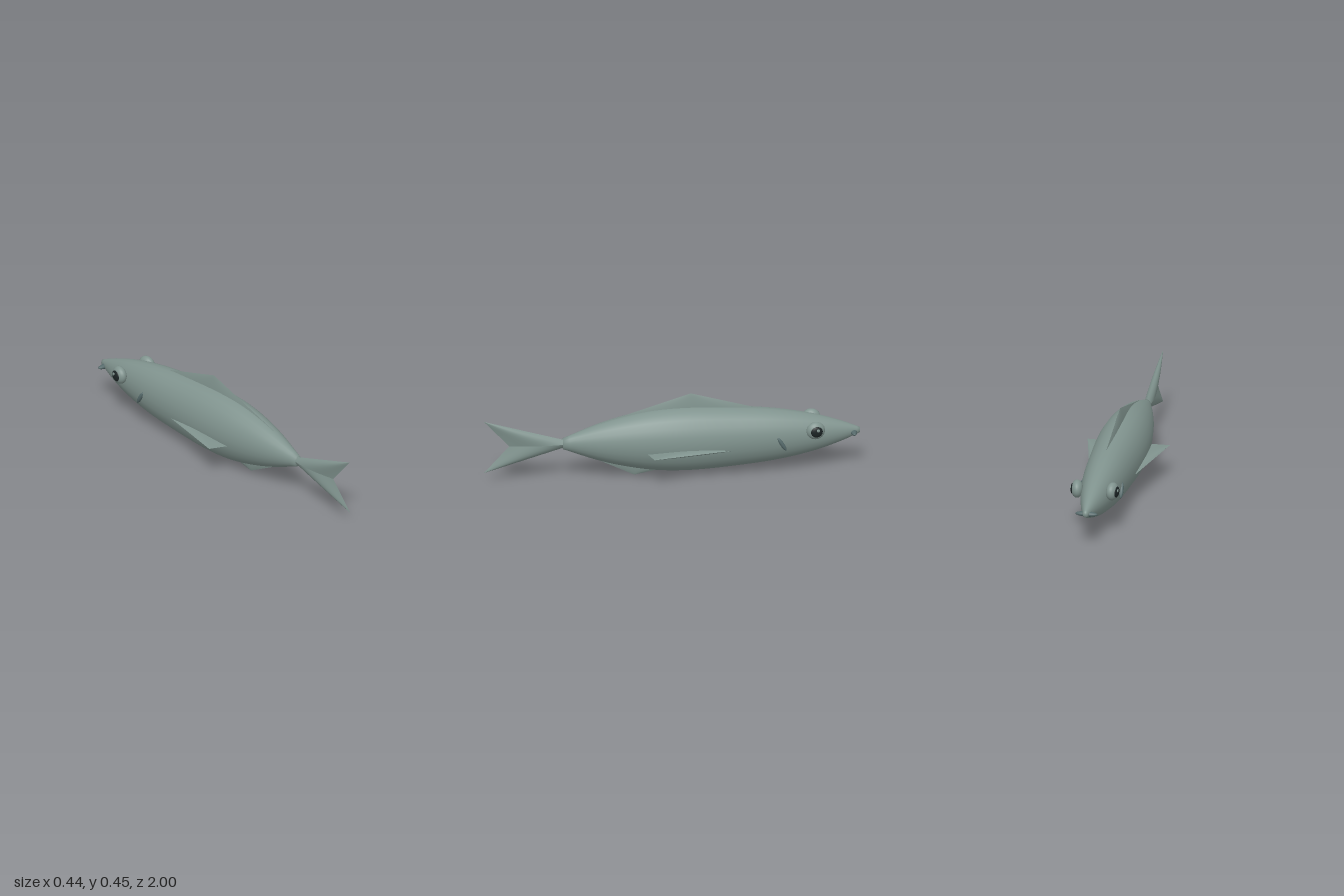
import * as THREE from 'three';
import { toCreasedNormals } from 'three/addons/utils/BufferGeometryUtils.js';
import { ParametricGeometry } from 'three/addons/geometries/ParametricGeometry.js';

const V = (x, y, z) => new THREE.Vector3(x, y, z);

// Lens-section fin: root chord from a to b, tapering to a sharp tip
function finGeometry(a, b, tip, thickness, axis) {
  const geometry = new ParametricGeometry((u, v, target) => {
    const chord = u < 0.5 ? u * 2 : 2 - u * 2;
    const side = u < 0.5 ? 1 : -1;
    const bulge = Math.sin(Math.PI * Math.pow(chord, 0.85));
    target.copy(a).lerp(b, chord).lerp(tip, v);
    target.addScaledVector(axis, side * thickness * bulge * (1 - v * v));
  }, 20, 6);
  return toCreasedNormals(geometry, 0.4);
}

export function createModel() {
  const model = new THREE.Group();
  const skin = new THREE.MeshStandardMaterial({ color: 0x80938e, side: THREE.DoubleSide });
  skin.name = 'greyGreenSkin';
  const dark = new THREE.MeshStandardMaterial({ color: 0x55696a });
  dark.name = 'darkSkin';
  const black = new THREE.MeshStandardMaterial({ color: 0x1c2425 });
  black.name = 'pupilBlack';

  const add = (name, geometry, material, parent = model) => {
    const mesh = new THREE.Mesh(geometry, material);
    mesh.name = name;
    parent.add(mesh);
    return mesh;
  };
  const ball = (rx, ry, rz) => new THREE.SphereGeometry(1, 24, 16).scale(rx, ry, rz);

  // Body: lathed profile of (half height, z), narrowed sideways
  const curve = new THREE.SplineCurve([
    [0.014, -1], [0.056, -0.9], [0.103, -0.75], [0.142, -0.55], [0.165, -0.32],
    [0.177, -0.1], [0.169, 0.08], [0.142, 0.24], [0.098, 0.4], [0.03, 0.58],
  ].map(([r, z]) => new THREE.Vector2(r, z)));
  const profile = [new THREE.Vector2(0, -1), ...curve.getPoints(36), new THREE.Vector2(0, 0.58)];
  const body = new THREE.LatheGeometry(profile, 22, Math.PI / 22, Math.PI * 2);
  body.rotateX(Math.PI / 2).scale(0.76, 1, 1).translate(0, 0.2, 0);
  add('body', body, skin);

  // Fins on the centre line
  const across = V(1, 0, 0);
  add('dorsalFin', finGeometry(V(0, 0.34, -0.5), V(0, 0.304, 0.385), V(0, 0.452, -0.1), 0.015, across), skin);
  add('analFin', finGeometry(V(0, 0.05, -0.03), V(0, 0.102, 0.4), V(0, 0.004, 0.2), 0.012, across), skin);
  for (const [name, y] of [['upperTailLobe', 0.346], ['lowerTailLobe', 0.054]]) {
    add(name, finGeometry(V(0, 0.2, 0.5), V(0, 0.2, 0.865), V(0, y, 1), 0.022, across), skin);
  }

  // Paired parts
  for (const [label, s] of [['left', 1], ['right', -1]]) {
    add(label + 'PectoralFin', finGeometry(
      V(s * 0.1, 0.161, -0.4), V(s * 0.1, 0.161, 0.145), V(s * 0.222, 0.172, 0.12), 0.015, V(0, 1, 0)), skin);

    const eye = new THREE.Group();
    eye.name = label + 'Eye';
    eye.position.set(s * 0.095, 0.245, -0.753);
    eye.rotation.y = s * 0.15;
    model.add(eye);
    add('eyeball', ball(0.032, 0.048, 0.05), skin, eye);
    add('pupil', ball(0.014, 0.031, 0.033), black, eye).position.x = s * 0.021;
    add('eyeGlint', ball(0.004, 0.009, 0.009), skin, eye).position.set(s * 0.033, 0.01, -0.006);

    const gill = add(label + 'Gill', ball(0.012, 0.043, 0.011), dark);
    gill.position.set(s * 0.106, 0.18, -0.573);
    gill.rotation.x = 0.55;
  }

  // Lips crossing the snout
  add('lips', ball(0.06, 0.014, 0.018), dark).position.set(0, 0.193, -0.965);

  return model;
}
